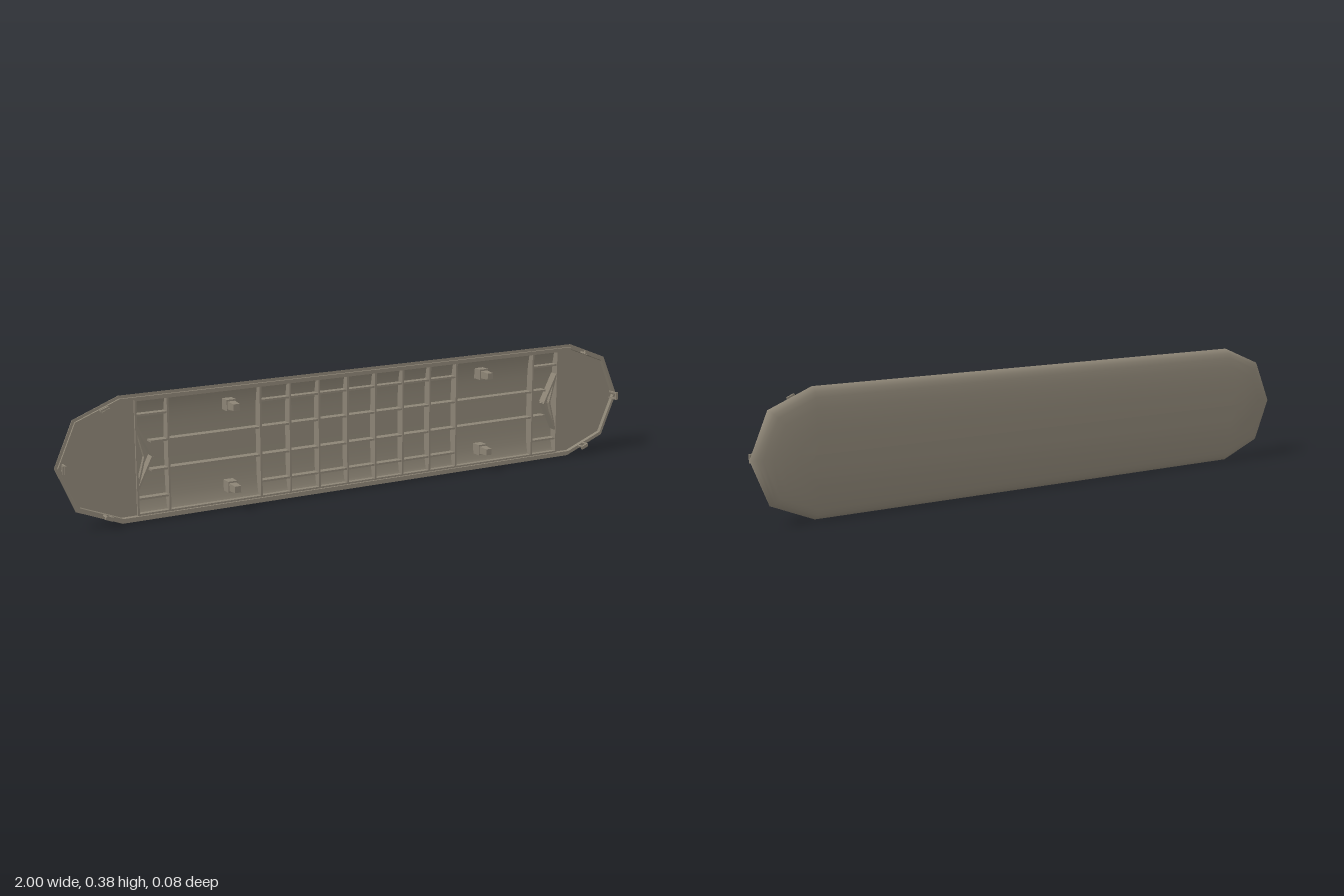
import * as THREE from 'three';

const CY = 0.19; // mid height of the cover

// Corners of the outline, inset by d: straight sides with five-corner ends
function outline(d) {
  const pts = [];
  for (const s of [1, -1]) {
    for (let k = -2; k <= 2; k++) {
      const a = (k * Math.PI) / 4;
      pts.push([s * (0.8 + (0.2 - d) * Math.cos(a)), CY + s * (0.19 - d) * Math.sin(a)]);
    }
  }
  return pts;
}

// Skin over nested outlines given as [inset, z]
function loft(profile, flat) {
  const pos = [], idx = [], n = 10;
  for (const [d, z] of profile) for (const [x, y] of outline(d)) pos.push(x, y, z);
  for (let i = 0; i < profile.length - 1; i++) {
    for (let j = 0; j < n; j++) {
      const a = i * n + j, d = i * n + ((j + 1) % n);
      idx.push(a, a + n, d + n, a, d + n, d);
    }
  }
  let g = new THREE.BufferGeometry();
  g.setAttribute('position', new THREE.Float32BufferAttribute(pos, 3));
  g.setIndex(idx);
  if (flat) g = g.toNonIndexed();
  g.computeVertexNormals();
  return g;
}

export function createModel() {
  const model = new THREE.Group();
  model.name = 'cover';
  const plastic = new THREE.MeshStandardMaterial({ color: 0x8c8475 });
  plastic.name = 'warm grey plastic';

  const add = (name, geo, parent = model) => {
    const m = new THREE.Mesh(geo, plastic);
    m.name = name;
    parent.add(m);
    return m;
  };
  const box = (name, w, h, z0, z1, x, y, parent) => {
    const m = add(name, new THREE.BoxGeometry(w, h, z1 - z0), parent);
    m.position.set(x, y, (z0 + z1) / 2);
    return m;
  };

  // Domed back, stepped rim and hollow inside
  add('outerShell', loft([[0, -0.005], [0.001, -0.01], [0.006, -0.018], [0.015, -0.024],
    [0.03, -0.029], [0.06, -0.0335], [0.1, -0.0365], [0.14, -0.038], [0.19, -0.0385]]));
  add('rim', loft([[0.018, -0.017], [0.016, 0.002], [0.009, 0.002], [0.009, -0.005], [0, -0.005]], true));
  add('innerFloor', loft([[0.19, -0.033], [0.14, -0.033], [0.1, -0.032], [0.06, -0.029],
    [0.03, -0.023], [0.018, -0.017]]));

  // Cross ribs that follow the curved floor
  const ribShape = new THREE.Shape([[0.017, -0.003], [0.017, -0.018], [0.03, -0.025], [0.06, -0.031],
    [0.1, -0.034], [0.28, -0.034], [0.32, -0.031], [0.35, -0.025], [0.363, -0.018], [0.363, -0.003]]
    .map(([y, z]) => new THREE.Vector2(z, y)));
  const ribGeo = new THREE.ExtrudeGeometry(ribShape, { depth: 0.006, bevelEnabled: false });
  ribGeo.translate(0, 0, -0.003).rotateY(-Math.PI / 2);
  for (const x of [0.05, 0.15, 0.25, 0.35, 0.65, 0.75]) {
    for (const s of [-1, 1]) add('crossRib', ribGeo).position.x = s * x;
  }

  // Long ribs
  for (const s of [-1, 1]) {
    box('longRib', 1.41, 0.006, -0.034, -0.006, 0, CY + s * 0.043);
    box('gridRib', 0.7, 0.006, -0.03, -0.006, 0, CY + s * 0.125);
    box('sideRib', 1.5, 0.006, -0.02, -0.003, 0, CY + s * 0.171);
    for (const e of [-1, 1]) box('endGridRib', 0.1, 0.006, -0.03, -0.006, e * 0.7, CY + s * 0.125);
  }

  // One end: flat panel, pointed brace, pegs and clips
  const tips = outline(0.015).slice(0, 5);
  const panelShape = new THREE.Shape(
    [[0.75, tips[0][1]], ...tips, [0.75, tips[4][1]]].map(([x, y]) => new THREE.Vector2(x, y - CY)));

  const clip = (parent, x, y, angle) => {
    const c = new THREE.Group();
    c.name = 'clip';
    c.position.set(x, y, 0);
    c.rotation.z = angle;
    parent.add(c);
    for (const s of [-1, 1]) box('clipPost', 0.006, 0.005, -0.012, 0.028, 0, s * 0.01, c);
    box('clipBar', 0.006, 0.025, 0.022, 0.028, 0, 0, c);
    box('clipHook', 0.008, 0.025, 0.019, 0.025, 0.005, 0, c);
  };

  for (const turn of [0, Math.PI]) {
    const end = new THREE.Group();
    end.name = turn ? 'rightEnd' : 'leftEnd';
    end.position.y = CY;
    end.rotation.z = turn;
    model.add(end);

    const panel = add('endPanel',
      new THREE.ExtrudeGeometry(panelShape, { depth: 0.004, bevelEnabled: false }), end);
    panel.position.z = -0.014;

    for (const s of [-1, 1]) {
      // Two slanted walls meeting in a point
      const brace = box('brace', 0.006, 0.105, -0.032, -0.004, 0.724, s * 0.047, end);
      brace.rotation.z = s * Math.atan2(-0.047, 0.093);
      const lip = box('braceLip', 0.005, 0.1, -0.02, -0.008, 0.736, s * 0.046, end);
      lip.rotation.z = s * Math.atan2(-0.025, 0.093);

      // Tapered square peg on a foot
      box('pegFoot', 0.03, 0.034, -0.03, 0.004, 0.45, s * 0.125, end);
      const peg = new THREE.CylinderGeometry(0.014, 0.017, 0.036, 4, 1).toNonIndexed();
      peg.rotateY(Math.PI / 4).rotateX(Math.PI / 2);
      peg.computeVertexNormals();
      add('peg', peg, end).position.set(0.45, s * 0.125, 0.022);

      clip(end, 0.85, s * 0.157, s * 1.2);
    }
    clip(end, 0.977, 0, 0);
  }
  return model;
}
